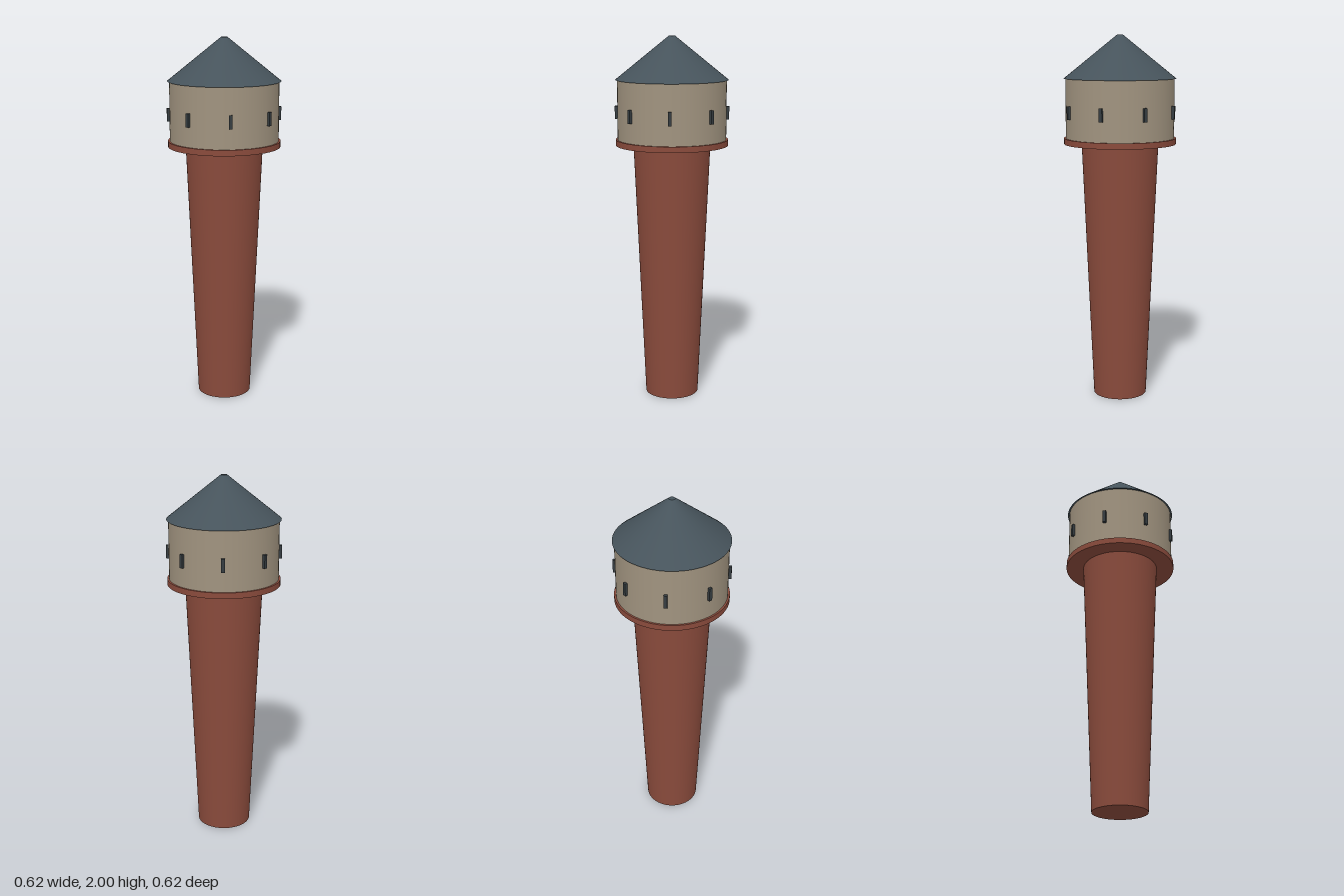
import * as THREE from 'three';

const SEGMENTS = 64;
const mat = (color) => new THREE.MeshStandardMaterial({ color });

export function createModel() {
  const tower = new THREE.Group();
  tower.name = 'waterTower';

  const brick = mat(0x8a4b3c);
  const plaster = mat(0xa0937f);
  const slate = mat(0x46535b);
  const glass = mat(0x353c40);

  // Capped round section between two heights
  const addRound = (name, bottomRadius, topRadius, y0, y1, material) => {
    const geometry = new THREE.CylinderGeometry(topRadius, bottomRadius, y1 - y0, SEGMENTS);
    const mesh = new THREE.Mesh(geometry, material);
    mesh.name = name;
    mesh.position.y = (y0 + y1) / 2;
    tower.add(mesh);
  };

  addRound('shaft', 0.147, 0.21, 0, 1.43, brick);
  addRound('ledge', 0.305, 0.305, 1.415, 1.447, brick);
  addRound('tank', 0.295, 0.295, 1.418, 1.77, plaster);
  addRound('roof', 0.305, 0.017, 1.768, 2, slate);

  // Eight slit windows around the tank
  const windows = new THREE.Group();
  windows.name = 'windows';
  const slit = new THREE.BoxGeometry(0.018, 0.072, 0.019);
  for (let i = 0; i < 8; i++) {
    const angle = (i * Math.PI) / 4;
    const mesh = new THREE.Mesh(slit, glass);
    mesh.name = 'window';
    mesh.position.set(Math.sin(angle) * 0.3, 1.59, Math.cos(angle) * 0.3);
    mesh.rotation.y = angle;
    windows.add(mesh);
  }
  tower.add(windows);

  return tower;
}
